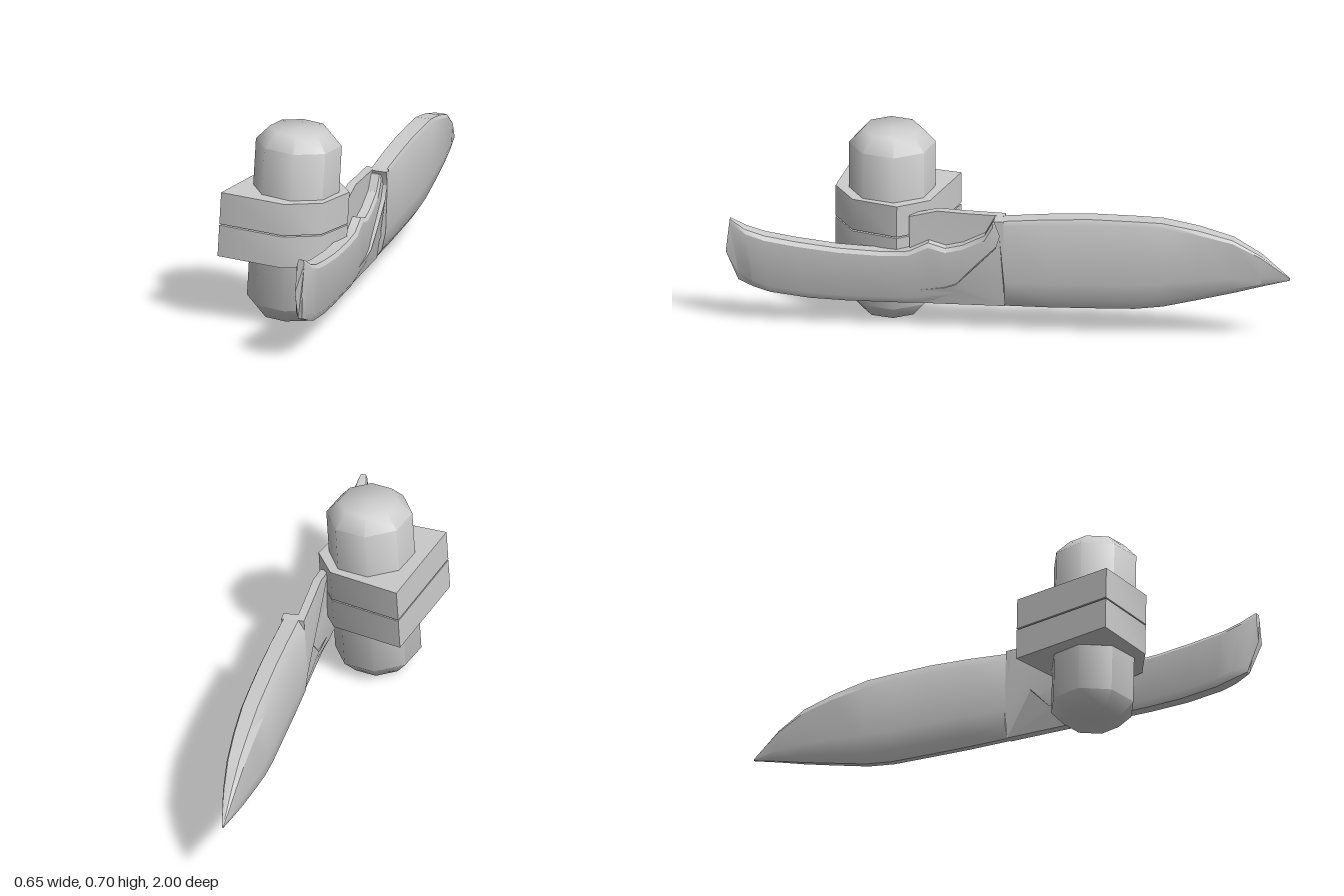
import * as THREE from 'three';
import { toCreasedNormals } from 'three/addons/utils/BufferGeometryUtils.js';

const material = new THREE.MeshStandardMaterial({ color: 0xcccccc });

function part(name, geometry, crease, parent) {
  const mesh = new THREE.Mesh(toCreasedNormals(geometry, crease), material);
  mesh.name = name;
  parent.add(mesh);
  return mesh;
}

// Skins rings of [x, y, z], listed from +z to -z, each counter-clockwise seen from +z.
function loft(rings) {
  const n = rings[0].length;
  const index = [];
  for (let i = 0; i < rings.length - 1; i++) {
    for (let j = 0; j < n; j++) {
      const a = i * n + j, b = i * n + (j + 1) % n;
      index.push(a, a + n, b, b, a + n, b + n);
    }
  }
  const last = (rings.length - 1) * n;
  for (let j = 1; j < n - 1; j++) {
    index.push(0, j, j + 1, last, last + j + 1, last + j);
  }
  const geo = new THREE.BufferGeometry();
  geo.setAttribute('position', new THREE.Float32BufferAttribute(rings.flat(2), 3));
  geo.setIndex(index);
  return geo;
}

// Blade section: flat spine bevelled on the -x side, wedge towards the cutting edge.
function bladeRing([z, top, bottom, t]) {
  const h = top - bottom;
  const at = (x, f) => [x * t, bottom + h * f, z];
  return [
    at(1, 0.95), at(0.8, 1), at(-0.5, 1), at(-1, 0.88),
    at(-1, 0.3), at(-0.75, 0.1), at(-0.25, 0), at(0.25, 0), at(0.75, 0.1), at(1, 0.3),
  ];
}

// Handle section: a chamfered slab whose top and bottom may lie at different z.
function handleRing([zTop, top, zBottom, bottom, t]) {
  const at = (x, f) => [x * t, bottom + (top - bottom) * f, zBottom + (zTop - zBottom) * f];
  return [
    at(1, 0.93), at(0.7, 1), at(-0.7, 1), at(-1, 0.93),
    at(-1, 0.12), at(-0.6, 0), at(0.6, 0), at(1, 0.12),
  ];
}

// Extrudes a side outline given as [z, y] between two x values.
function sideSlab(outline, x0, x1) {
  const shape = new THREE.Shape(outline.map(([z, y]) => new THREE.Vector2(-z, y)));
  const geo = new THREE.ExtrudeGeometry(shape, { depth: x1 - x0, bevelEnabled: false });
  geo.rotateY(Math.PI / 2);
  return geo.translate(x0, 0, 0);
}

// Narrows a slab towards the cutting edge.
function taperEdge(geo) {
  const p = geo.attributes.position;
  for (let i = 0; i < p.count; i++) {
    const f = THREE.MathUtils.clamp((p.getY(i) - 0.1) / 0.1, 0, 1);
    p.setX(i, p.getX(i) * (0.35 + 0.65 * f));
  }
  return geo;
}

function buildKnife() {
  const knife = new THREE.Group();
  knife.name = 'knife';

  const blade = [
    [0.01, 0.435, 0.1, 0.042], [-0.15, 0.448, 0.1, 0.043], [-0.3, 0.455, 0.103, 0.043],
    [-0.45, 0.453, 0.107, 0.043], [-0.55, 0.45, 0.12, 0.042], [-0.68, 0.425, 0.152, 0.038],
    [-0.8, 0.39, 0.182, 0.031], [-0.9, 0.33, 0.21, 0.021], [-1, 0.243, 0.235, 0.003],
  ];
  part('blade', loft(blade.map(bladeRing)), 0.5, knife);

  // Raised collar of the blade that steps down onto the handle
  const bolster = [
    [0.35, 0.1], [0.35, 0.15], [0.22, 0.17], [0.18, 0.185], [0.12, 0.25],
    [0.04, 0.33], [0.025, 0.38], [0.045, 0.435], [0.01, 0.435], [0.01, 0.2], [0.01, 0.1],
  ];
  part('bolster', taperEdge(sideSlab(bolster, -0.042, 0.042)), 0.5, knife);

  // Back layer of the blade lying behind the handle
  const tang = [
    [0.35, 0.1], [0.35, 0.42], [0.25, 0.445], [0.16, 0.44], [0.01, 0.435],
    [0.01, 0.2], [0.01, 0.1],
  ];
  part('tang', taperEdge(sideSlab(tang, -0.042, -0.012)), 0.5, knife);

  const handle = [
    [0.98, 0.39, 0.95, 0.16, 0.014], [0.93, 0.36, 0.9, 0.14, 0.03],
    [0.86, 0.338, 0.84, 0.122, 0.032], [0.75, 0.32, 0.7, 0.105, 0.032],
    [0.6, 0.302, 0.57, 0.1, 0.031], [0.45, 0.295, 0.45, 0.1, 0.03],
    [0.35, 0.3, 0.35, 0.1, 0.03], [0.28, 0.335, 0.28, 0.11, 0.03],
    [0.22, 0.316, 0.22, 0.12, 0.029], [0.16, 0.33, 0.16, 0.13, 0.028],
    [0.08, 0.37, 0.08, 0.14, 0.027], [0.05, 0.425, 0.05, 0.15, 0.026],
    [0, 0.425, 0, 0.15, 0.026],
  ].map(handleRing);
  // Bowed end of the pommel
  const end = handle[0].map(([x, y, z]) => {
    const bow = 1 - Math.abs(y - 0.275) / 0.115;
    return [x * 0.9, y, z + 0.004 + 0.028 * Math.max(0, bow)];
  });
  for (const i of [0, 1, 2, 3, 4, 5, 6, 7]) {
    // Mid-height belly points keep the end curved
    if (i === 4 || i === 7) end[i] = [end[i][0], 0.27, 0.998];
  }
  part('handle', loft([end, ...handle]), 0.5, knife);

  // Yaw along the length, slight roll, pivoting at mid height
  for (const mesh of knife.children) mesh.position.y = -0.27;
  knife.rotation.set(0, -0.146, -0.055, 'YXZ');
  knife.scale.z = 1.008;
  knife.position.set(0.162, 0.27, 0);
  return knife;
}

function buildPost() {
  const post = new THREE.Group();
  post.name = 'post';

  // Eight-sided pin with chamfered ends
  const r = 0.154, h = 0.347;
  const profile = [
    [0, -h], [0.105, -h + 0.002], [r, -h + 0.055],
    [r, h - 0.055], [0.105, h - 0.002], [0, h],
  ].map(([x, y]) => new THREE.Vector2(x, y));
  part('pin', new THREE.LatheGeometry(profile, 8), 0.9, post);

  // Split ring: rounded on one side, drawn out to a flat end on the other
  const outline = [
    [-0.115, -0.25], [-0.252, 0.13], [-0.015, 0.2], [0.115, 0.145], [0.19, -0.01], [0.135, -0.13],
  ];
  const shape = new THREE.Shape(outline.map(([x, z]) => new THREE.Vector2(x, -z)));
  for (const [name, y, depth] of [['lowerRing', -0.117, 0.115], ['upperRing', 0.003, 0.117]]) {
    const geo = new THREE.ExtrudeGeometry(shape, { depth, bevelEnabled: false });
    geo.rotateX(-Math.PI / 2);
    part(name, geo.translate(0, y, 0), 0.8, post);
  }

  post.rotation.z = -0.055;
  post.position.set(-0.077, 0.352, 0.403);
  return post;
}

export function createModel() {
  const model = new THREE.Group();
  model.name = 'knifeOnPost';
  model.add(buildKnife(), buildPost());
  return model;
}
